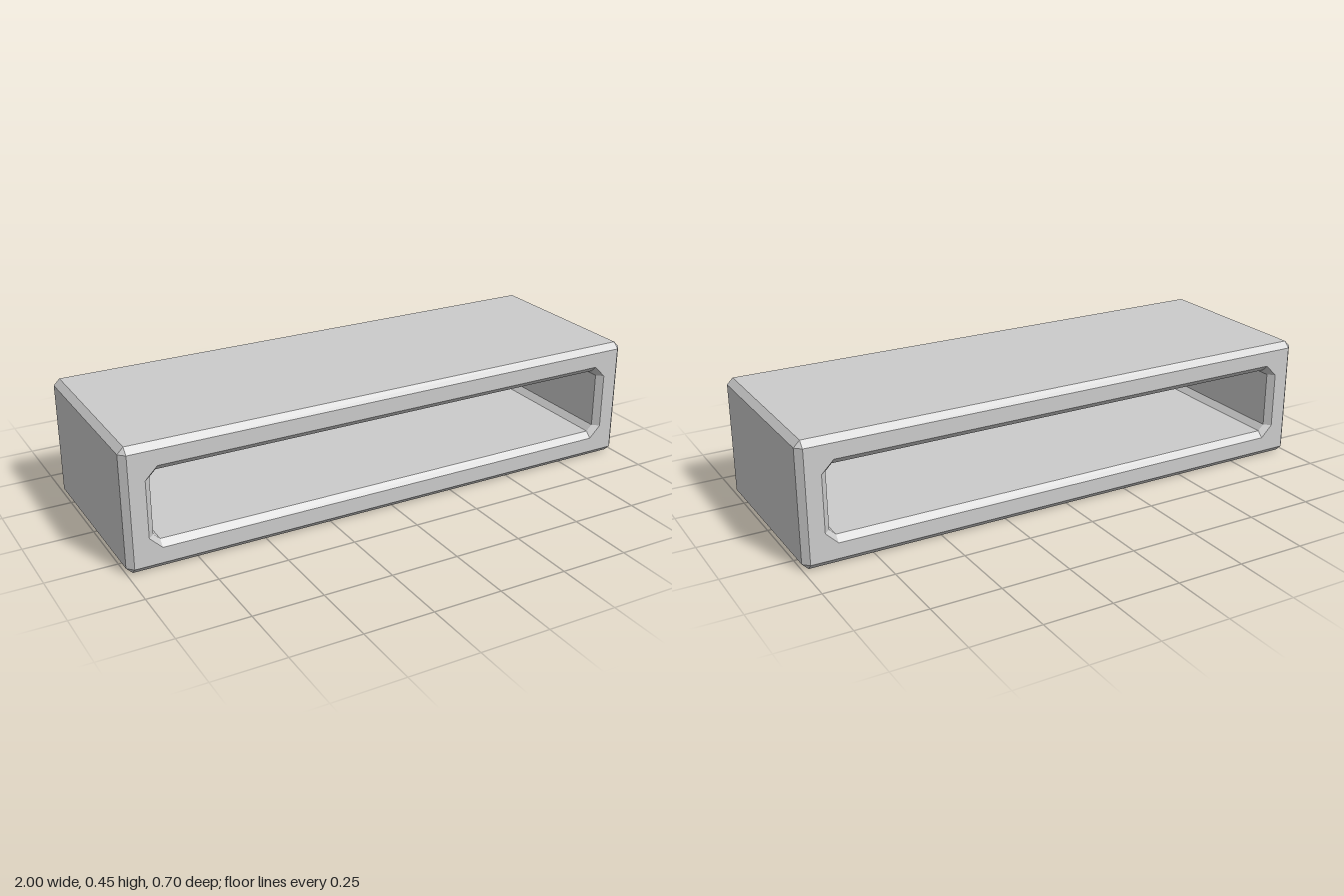
import * as THREE from 'three';

const HEIGHT = 0.45, DEPTH = 0.7, BEVEL = 0.022;

// Rectangle with cut corners, counter-clockwise seen from +z
function section(hw, hh, cut, z) {
  return [
    [hw, -hh + cut], [hw, hh - cut], [hw - cut, hh], [-hw + cut, hh],
    [-hw, hh - cut], [-hw, -hh + cut], [-hw + cut, -hh], [hw - cut, -hh],
  ].map(([x, y]) => new THREE.Vector3(x, y + HEIGHT / 2, z));
}

// Joins each section to the next and the last to the first, with flat facets
function loftClosed(rings) {
  const positions = [];
  const tri = new THREE.Triangle();
  const addFace = (a, b, c) => {
    if (tri.set(a, b, c).getArea() < 1e-9) return;
    for (const p of [a, b, c]) positions.push(p.x, p.y, p.z);
  };
  rings.forEach((ring, i) => {
    const next = rings[(i + 1) % rings.length];
    ring.forEach((a, j) => {
      const k = (j + 1) % ring.length;
      addFace(a, ring[k], next[k]);
      addFace(a, next[k], next[j]);
    });
  });
  const geometry = new THREE.BufferGeometry();
  geometry.setAttribute('position', new THREE.Float32BufferAttribute(positions, 3));
  geometry.computeVertexNormals();
  return geometry;
}

export function createModel() {
  const group = new THREE.Group();
  group.name = 'openShelf';

  // Half width, half height, corner cut and z: outside, rim, opening, inside
  const z = DEPTH / 2;
  const hh = HEIGHT / 2, wall = 0.1;
  const profile = [
    [1, hh, BEVEL, z - BEVEL],
    [1 - BEVEL, hh - BEVEL, 0, z],
    [1 - wall + BEVEL, hh - wall + BEVEL, 2 * BEVEL, z],
    [1 - wall, hh - wall, BEVEL, z - BEVEL],
  ];
  // The back end mirrors the front
  const back = profile.map(([w, h, cut, d]) => [w, h, cut, -d]).reverse();
  const rings = [...profile, ...back].map((p) => section(...p));

  const frame = new THREE.Mesh(
    loftClosed(rings),
    new THREE.MeshStandardMaterial({ color: 0xcccccc, flatShading: true })
  );
  frame.name = 'shelfFrame';
  group.add(frame);
  return group;
}
